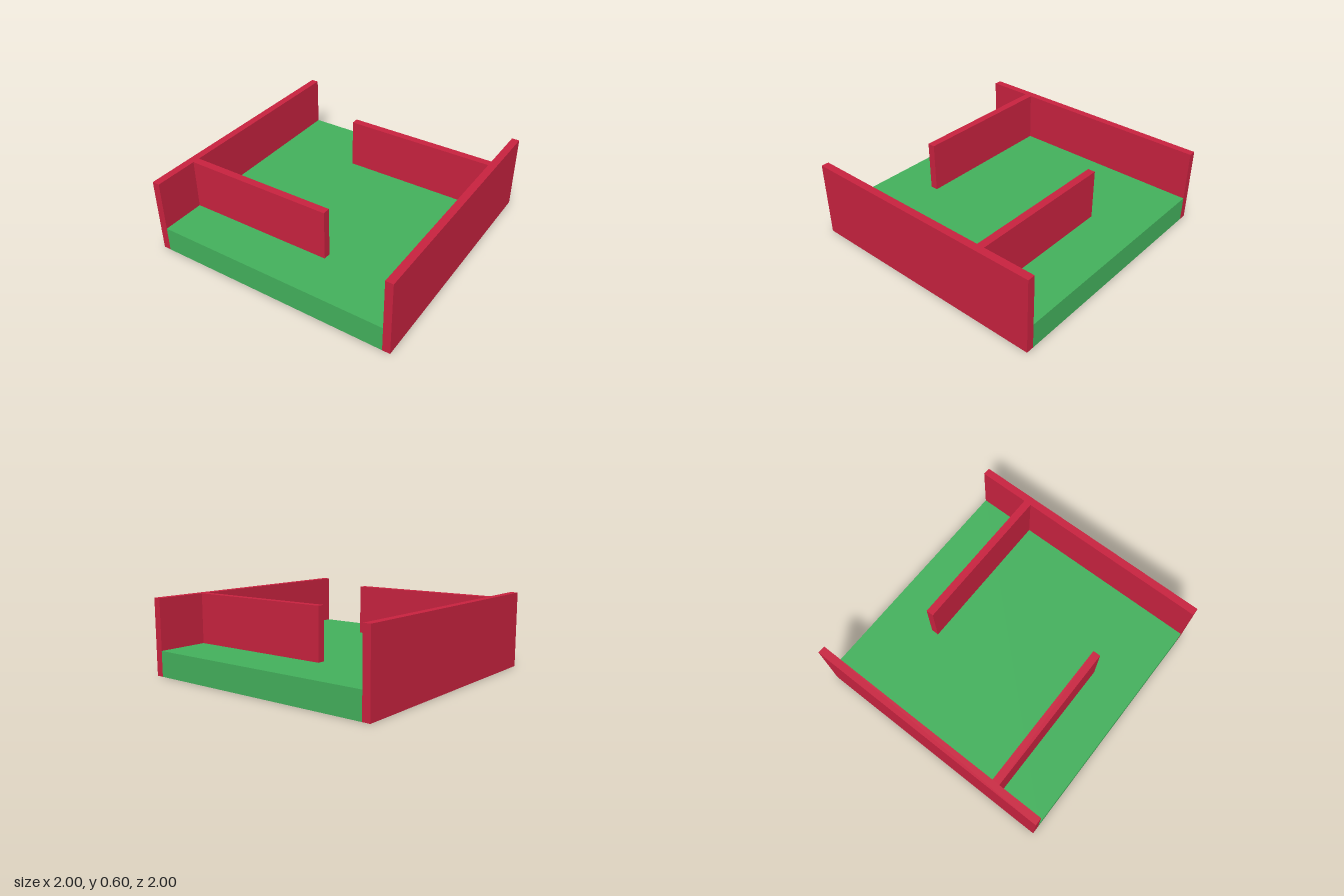
import * as THREE from 'three';

export function createModel() {
  const model = new THREE.Group();
  model.name = 'walledPlatform';

  const red = new THREE.MeshStandardMaterial({ color: 0xc8223f });
  red.name = 'wall red';
  const green = new THREE.MeshStandardMaterial({ color: 0x43b05c });
  green.name = 'floor green';

  // Box given by its lower and upper corners
  function box(name, [x0, y0, z0], [x1, y1, z1], material) {
    const mesh = new THREE.Mesh(new THREE.BoxGeometry(x1 - x0, y1 - y0, z1 - z0), material);
    mesh.position.set((x0 + x1) / 2, (y0 + y1) / 2, (z0 + z1) / 2);
    mesh.name = name;
    model.add(mesh);
  }

  const height = 0.6, floorTop = 0.2, inner = 0.94;

  // Thick floor slab, green with a red underside
  box('floor', [-inner, 0, -1], [inner, floorTop, 1], [green, green, green, red, green, green]);

  // Full-length side walls
  box('rightWall', [-1, 0, -1], [-inner, height, 1], red);
  box('leftWall', [inner, 0, -1], [1, height, 1], red);

  // Staggered partitions, each reaching in from one side wall
  box('frontPartition', [-inner, floorTop, 0.58], [0.25, height, 0.64], red);
  box('backPartition', [-0.26, floorTop, -0.59], [inner, height, -0.53], red);

  return model;
}
